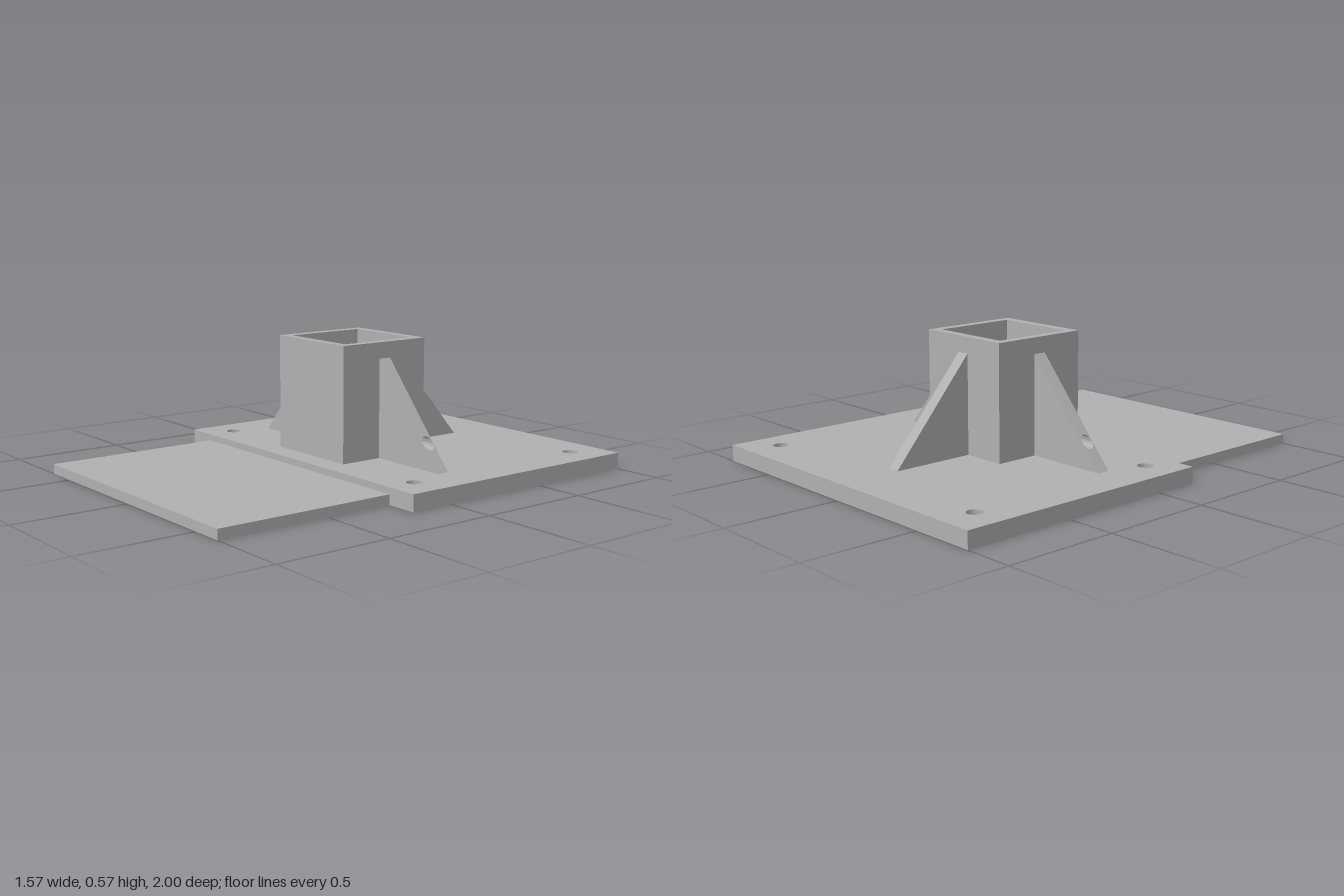
import * as THREE from 'three';
import { toCreasedNormals } from 'three/addons/utils/BufferGeometryUtils.js';

const PLATE_TOP = 0.072, TUBE_TOP = 0.575, RIB_TOP = 0.505;
const TUBE_Z = -0.13, HALF = 0.225, WALL = 0.04;
const RIB_WIDTH = 0.057, RIB_LENGTH = 0.373;
const PIN_Y = 0.18, PIN_R = 0.026;

// Rectangle with round holes given as [x, y, radius]
function drilledRect(x0, y0, x1, y1, holes = []) {
  const shape = new THREE.Shape();
  shape.moveTo(x0, y0).lineTo(x1, y0).lineTo(x1, y1).lineTo(x0, y1).closePath();
  for (const [x, y, r] of holes) {
    shape.holes.push(new THREE.Path().absarc(x, y, r, 0, Math.PI * 2, true));
  }
  return shape;
}

const extrude = (shape, depth) =>
  new THREE.ExtrudeGeometry(shape, { depth, bevelEnabled: false, curveSegments: 16 });

// Upright bar running along +z whose far end is cut back to a slope
function ribGeometry(holes) {
  const geo = extrude(drilledRect(-RIB_WIDTH / 2, PLATE_TOP, RIB_WIDTH / 2, RIB_TOP, holes), 1);
  const p = geo.attributes.position;
  for (let i = 0; i < p.count; i++) {
    const reach = RIB_LENGTH * (RIB_TOP - p.getY(i)) / (RIB_TOP - PLATE_TOP);
    p.setZ(i, p.getZ(i) * reach);
  }
  return toCreasedNormals(geo, 0.6);
}

export function createModel() {
  const model = new THREE.Group();
  model.name = 'postBase';
  const steel = new THREE.MeshStandardMaterial({ color: 0xb0b0b0 });
  steel.name = 'grey steel';

  function add(name, geometry, x = 0, y = 0, z = 0, parent = model) {
    const mesh = new THREE.Mesh(geometry, steel);
    mesh.name = name;
    mesh.position.set(x, y, z);
    parent.add(mesh);
    return mesh;
  }

  // Base plate with four bolt holes (shape y becomes -z)
  const bolts = [];
  for (const x of [-0.645, 0.645]) for (const y of [-0.067, 0.847]) bolts.push([x, y, 0.033]);
  const plate = extrude(drilledRect(-0.787, -0.197, 0.787, 1, bolts), PLATE_TOP);
  add('basePlate', toCreasedNormals(plate.rotateX(-Math.PI / 2), 0.6));

  // Thinner plate in front
  add('frontPlate', new THREE.BoxGeometry(1.29, 0.043, 0.803), 0, 0.0215, 0.5985);

  // Square socket, its side walls drilled for the cross pin
  const socket = new THREE.Group();
  socket.name = 'socket';
  socket.position.z = TUBE_Z;
  model.add(socket);
  const height = TUBE_TOP - PLATE_TOP, pin = [[0, PIN_Y, PIN_R]];
  for (const s of [-1, 1]) {
    add(s > 0 ? 'frontWall' : 'backWall', new THREE.BoxGeometry(HALF * 2, height, WALL),
      0, PLATE_TOP + height / 2, s * (HALF - WALL / 2), socket);
    const side = extrude(drilledRect(WALL - HALF, PLATE_TOP, HALF - WALL, TUBE_TOP, pin), WALL);
    side.translate(0, 0, HALF - WALL);
    add(s > 0 ? 'leftWall' : 'rightWall', toCreasedNormals(side, 0.6), 0, 0, 0, socket)
      .rotation.y = s * Math.PI / 2;
  }

  // Side ribs drilled along their length, plain rib at the back
  for (const s of [-1, 1]) {
    add(s > 0 ? 'leftRib' : 'rightRib', ribGeometry(pin), s * HALF, 0, TUBE_Z)
      .rotation.y = s * Math.PI / 2;
  }
  add('backRib', ribGeometry([]), 0, 0, TUBE_Z - HALF).rotation.y = Math.PI;

  return model;
}
